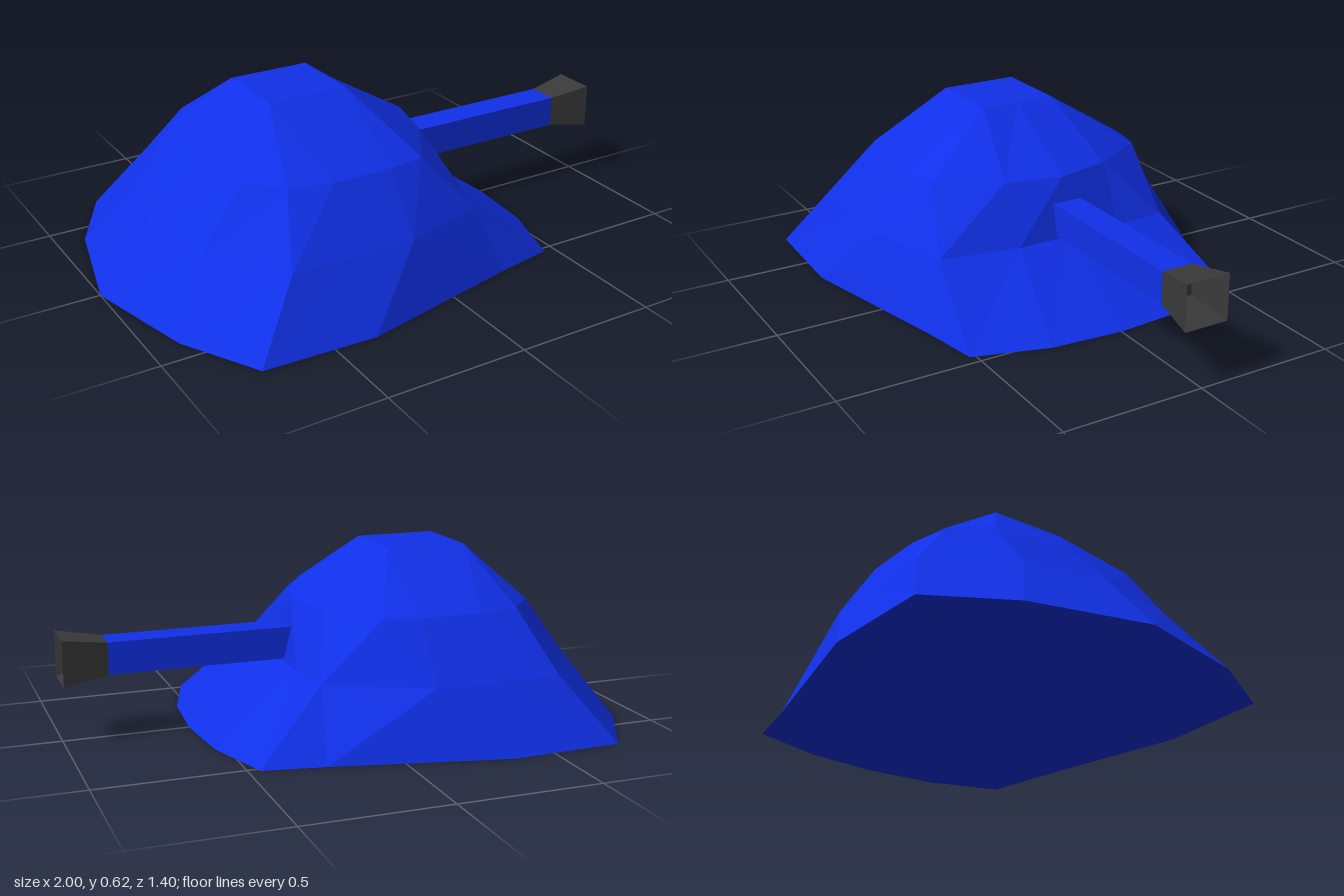
import * as THREE from 'three';

const paint = (color) => new THREE.MeshStandardMaterial({ color, flatShading: true });

// Half outlines [x, z] running from the gun side round to the rear
const base = [[0.56, 0], [0.54, 0.26], [0.46, 0.52], [0.25, 0.56], [-0.35, 0.7], [-0.75, 0.685], [-0.9, 0.41], [-1, 0]];
const waist = [[0.23, 0], [0.23, 0.2], [0.18, 0.48], [-0.13, 0.57], [-0.35, 0.57], [-0.58, 0.57], [-0.75, 0.29], [-0.81, 0]];
const shoulder = [[0.18, 0], [0.13, 0.2], [0, 0.41], [-0.13, 0.435], [-0.35, 0.435], [-0.5, 0.4], [-0.6, 0.28], [-0.63, 0]];
const roof = [[-0.13, 0], [-0.13, 0.14], [-0.13, 0.14], [-0.13, 0.14], [-0.42, 0.14], [-0.42, 0.14], [-0.42, 0.14], [-0.42, 0]];
const centre = base.map(() => [-0.28, 0]);

// Skins the stacked outlines on both sides, closing floor and roof at the centre
function hullGeometry() {
  const levels = [[0, centre], [0, base], [0.225, waist], [0.43, shoulder], [0.615, roof], [0.615, centre]];
  const positions = [];
  for (const side of [1, -1]) {
    const point = (level, i) => {
      const [y, outline] = levels[level];
      let [x, z] = outline[i];
      // The far waist corner is cut in deeper
      if (side < 0 && level === 2 && i === 2) [x, z] = [0.21, 0.395];
      return [x, y, z * side];
    };
    for (let k = 0; k < levels.length - 1; k++) {
      for (let i = 0; i < base.length - 1; i++) {
        const a = point(k, i), b = point(k, i + 1), c = point(k + 1, i), d = point(k + 1, i + 1);
        for (const [p, q, r] of [[a, c, b], [b, c, d]]) {
          const same = (u, v) => u.every((n, j) => n === v[j]);
          if (same(p, q) || same(q, r) || same(p, r)) continue;
          positions.push(...p, ...(side > 0 ? q : r), ...(side > 0 ? r : q));
        }
      }
    }
  }
  const geometry = new THREE.BufferGeometry();
  geometry.setAttribute('position', new THREE.Float32BufferAttribute(positions, 3));
  geometry.computeVertexNormals();
  return geometry;
}

// Square-section turned part along x; profile holds [half width, x]
function squareTube(profile) {
  const points = profile.map(([half, x]) => new THREE.Vector2(half * Math.SQRT2, x));
  return new THREE.LatheGeometry(points, 4).rotateY(Math.PI / 4).rotateZ(-Math.PI / 2);
}

export function createModel() {
  const group = new THREE.Group();
  const blue = paint(0x1030e8);
  const add = (name, geometry, material, y = 0, z = 0) => {
    const mesh = new THREE.Mesh(geometry, material);
    mesh.name = name;
    mesh.position.set(0, y, z);
    group.add(mesh);
  };

  add('turretShell', hullGeometry(), blue);

  // Gun, sunk into the shell
  add('barrel', squareTube([[0, 0.12], [0.056, 0.12], [0.056, 0.85]]), blue, 0.29, -0.006);

  // Flared muzzle with a hollow funnel
  add('muzzle', squareTube([[0.056, 0.845], [0.08, 1], [0.03, 0.88], [0, 0.88]]), paint(0x3a3a3a), 0.29, -0.006);

  return group;
}
